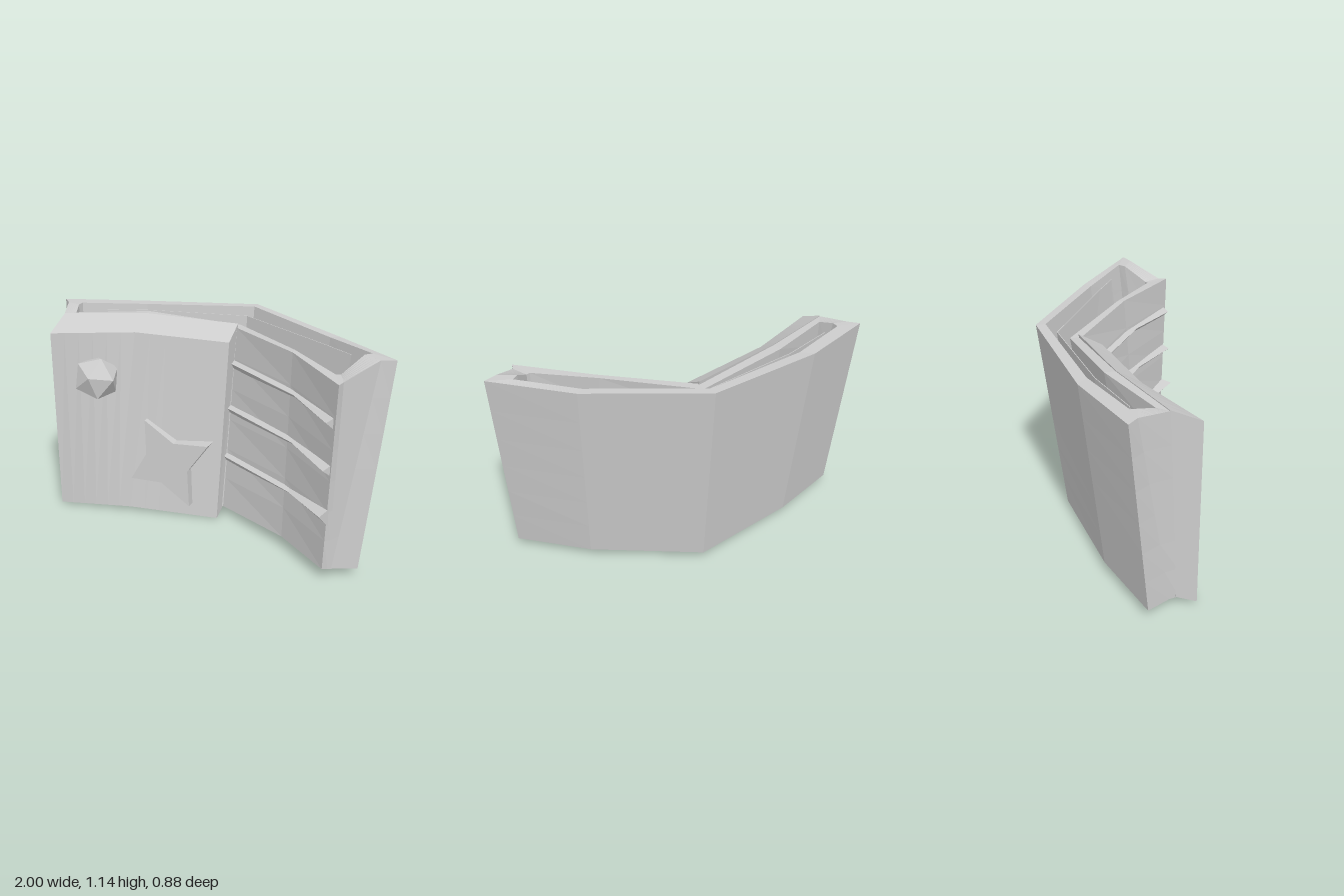
import * as THREE from 'three';

const material = new THREE.MeshStandardMaterial({ color: 0xcccccc, flatShading: true });

// Skin over equal-length rings; ring order is CCW seen from outside the first ring.
// 'axes' are the two coordinates used to triangulate the end caps.
// Each span is split into steps so that twisted walls bend evenly.
function loft(rings, axes, steps = 1) {
  const out = [];
  const tri = (a, b, c) => out.push(...a, ...b, ...c);
  const mix = (a, b, t) => a.map((p, i) => p.map((v, c) => v + (b[i][c] - v) * t));
  for (let k = 0; k < rings.length - 1; k++) {
    for (let s = 0; s < steps; s++) {
      const a = mix(rings[k], rings[k + 1], s / steps);
      const b = mix(rings[k], rings[k + 1], (s + 1) / steps);
      for (let i = 0; i < a.length; i++) {
        const j = (i + 1) % a.length;
        tri(a[i], b[i], b[j]);
        tri(a[i], b[j], a[j]);
      }
    }
  }
  const cap = (ring, reverse) => {
    const flat = ring.map((p) => new THREE.Vector2(p[axes[0]], p[axes[1]]));
    const sign = Math.sign(THREE.ShapeUtils.area(flat));
    for (const [i, j, k] of THREE.ShapeUtils.triangulateShape(flat, [])) {
      const same = Math.sign(THREE.ShapeUtils.area([flat[i], flat[j], flat[k]])) === sign;
      if (same !== reverse) tri(ring[i], ring[j], ring[k]);
      else tri(ring[i], ring[k], ring[j]);
    }
  };
  cap(rings[0], false);
  cap(rings[rings.length - 1], true);
  const g = new THREE.BufferGeometry();
  g.setAttribute('position', new THREE.Float32BufferAttribute(out, 3));
  g.computeVertexNormals();
  return g;
}

export function createModel() {
  const group = new THREE.Group();
  const add = (name, geometry) => {
    const mesh = new THREE.Mesh(geometry, material);
    mesh.name = name;
    group.add(mesh);
    return mesh;
  };

  // Bent pouch body: outer bottom, outer rim, inner rim, pocket floor
  const bottom = [
    [-0.95, 0.05, -0.04], [-0.55, 0.05, -0.19], [0.05, 0.042, -0.31], [0.59, 0.05, 0.0],
    [0.91, 0.05, 0.28], [0.79, 0.055, 0.345], [0.775, 0.058, 0.36], [0.75, 0.06, 0.375],
    [0.46, 0.065, 0.165], [0.03, 0.045, -0.05], [-0.47, 0.05, 0.05], [-0.875, 0.05, 0.13],
    [-0.885, 0.05, 0.08],
  ];
  const rim = [
    [-1, 1.125, -0.15], [-0.59, 1.12, -0.31], [0.07, 1.14, -0.44], [0.64, 1.125, -0.11],
    [1, 1.145, 0.18], [0.93, 1.145, 0.21], [0.80, 1.07, 0.36], [0.79, 1.07, 0.405],
    [0.46, 1.08, 0.09], [0.04, 1.065, -0.21], [-0.47, 1.11, -0.11], [-0.88, 1.105, 0.06],
    [-0.95, 1.125, -0.1],
  ];
  const innerXZ = [
    [-0.87, -0.12], [-0.53, -0.26], [0.07, -0.39], [0.6, -0.08], [0.87, 0.13], [0.84, 0.16],
    [0.76, 0.27], [0.74, 0.28], [0.46, 0.05], [0.04, -0.27], [-0.47, -0.17], [-0.84, 0.0],
    [-0.87, -0.08],
  ];
  const inner = innerXZ.map(([x, z], i) => [x, rim[i][1], z]);
  const floor = innerXZ.map(([x, z], i) => [
    x + 0.85 * (bottom[i][0] - rim[i][0]), 0.2, z + 0.85 * (bottom[i][2] - rim[i][2]),
  ]);
  add('pouchBody', loft([bottom, rim, inner, floor], [0, 2], 6));

  // Thin folded sheet inside the pocket
  const sheet = [[-0.8, -0.11], [-0.5, -0.22], [0.05, -0.335], [0.6, -0.03], [0.75, 0.06]];
  add('innerSheet', loft(sheet.map(([x, z]) => [
    [x * 0.94, 0.2, z + 0.09], [x, 1.1, z + 0.004], [x, 1.1, z], [x * 0.94, 0.2, z + 0.086],
  ]), [2, 1]));

  // Front flap: sections of front bottom, front top, bevel top, back bottom
  add('frontFlap', loft([
    [[-0.88, 0.01, 0.22], [-0.88, 1.04, 0.21], [-0.88, 1.11, 0.055], [-0.88, 0.055, 0.11]],
    [[-0.47, 0.025, 0.135], [-0.47, 1.04, 0.01], [-0.47, 1.115, -0.115], [-0.47, 0.055, 0.04]],
    [[0.02, 0, 0.02], [0.04, 1.015, -0.1], [0.04, 1.085, -0.225], [0.025, 0.05, -0.08]],
  ], [2, 1], 6));

  // Three card edges across the open side
  const panelZ = (z0, z1, y) => z0 + (z1 - z0) * y;
  [
    [0.89, 0.895, 0.055, 0.41], [0.64, 0.65, 0.06, 0.42], [0.365, 0.41, 0.1, 0.44],
  ].forEach(([y, yEnd, drop, reach], i) => {
    const wedge = (x, xTip, top, h, tipDrop, z0, z1, tipZ) => [
      [xTip, top - tipDrop, tipZ],
      [x, top, panelZ(z0, z1, top) - 0.01],
      [x, top - h, panelZ(z0, z1, top - h) - 0.01],
    ];
    add(`cardEdge${i + 1}`, loft([
      wedge(0.03, 0.03, y, 0.06, 0.01, -0.05, -0.21, panelZ(-0.05, -0.21, y) + 0.045),
      wedge(0.5, 0.5, y + 0.005, 0.04, 0.008, 0.19, 0.13, panelZ(0.19, 0.13, y) + 0.035),
      wedge(0.77, 0.74, yEnd, drop, 0.02, 0.375, 0.4, reach),
    ], [2, 1]));
  });

  // Faceted stud
  const stud = add('stud', new THREE.IcosahedronGeometry(0.13, 0));
  stud.position.set(-0.645, 0.795, 0.14);
  stud.rotation.set(0.25, 0.3, 0.2);

  // Four-pointed star patch, sheared to follow the flap
  const star = new THREE.Shape([
    [-0.39, 0.56], [-0.38, 0.36], [-0.47, 0.2], [-0.29, 0.2],
    [-0.12, 0.08], [-0.135, 0.29], [-0.02, 0.455], [-0.22, 0.445],
  ].map(([x, y]) => new THREE.Vector2(x, y)));
  const starGeo = new THREE.ExtrudeGeometry(star, { depth: 0.08, bevelEnabled: false });
  const p = starGeo.attributes.position;
  for (let i = 0; i < p.count; i++) {
    const x = p.getX(i), y = p.getY(i);
    p.setZ(i, p.getZ(i) - 0.025 - 0.09 * (x + 0.02) - 0.07 * (y - 0.455));
  }
  starGeo.computeVertexNormals();
  add('starPatch', starGeo);

  return group;
}
